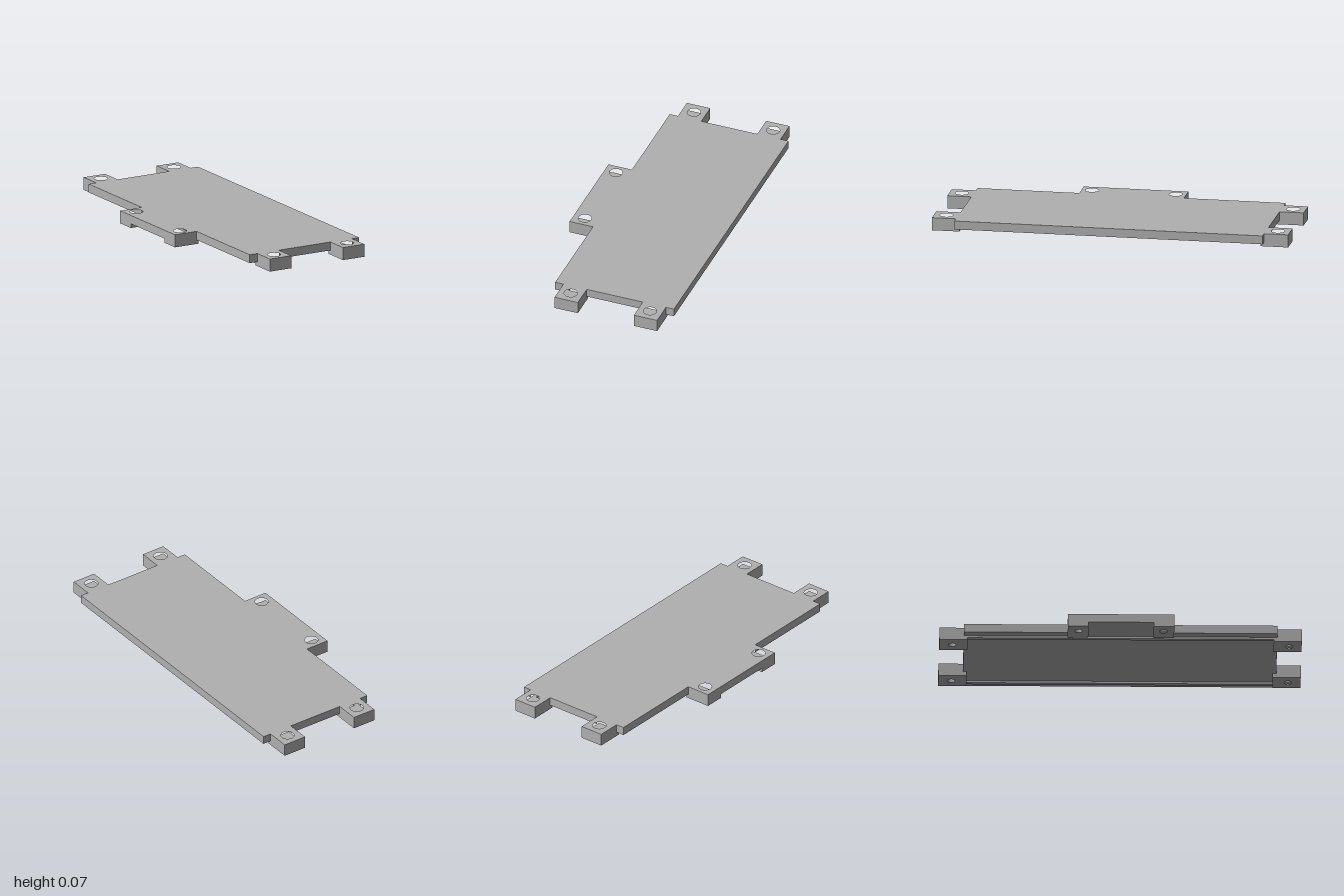
import * as THREE from 'three';

const TOP = 0.072, DECK = 0.024, RAIL = 0.012;
const BORE = 0.037, HOLE = 0.021;

const grey = new THREE.MeshStandardMaterial({ color: 0xb0b0b0 });
grey.name = 'plain grey';

// Horizontal slab from an [x, z] outline, with round holes [x, z]
function slab(name, outline, holes, radius, y0, y1) {
  const shape = new THREE.Shape(outline.map(([x, z]) => new THREE.Vector2(x, -z)));
  for (const [x, z] of holes) {
    shape.holes.push(new THREE.Path().absarc(x, -z, radius, 0, Math.PI * 2, true));
  }
  const geometry = new THREE.ExtrudeGeometry(shape, { depth: y1 - y0, bevelEnabled: false, curveSegments: 32 });
  geometry.rotateX(-Math.PI / 2).translate(0, y0, 0);
  const mesh = new THREE.Mesh(geometry, grey);
  mesh.name = name;
  return mesh;
}

const rect = (x0, x1, z0, z1) => [[x0, z0], [x1, z0], [x1, z1], [x0, z1]];

export function createModel() {
  const model = new THREE.Group();
  model.name = 'mountingPlate';

  // Deck with two tabs at each end and one wide tab on the side
  const half = [
    [0.42, 0.865], [0.373, 0.865], [0.373, 1], [0.235, 1], [0.235, 0.865],
    [-0.097, 0.865], [-0.097, 1], [-0.235, 1], [-0.235, 0.865],
    [-0.284, 0.865], [-0.284, 0.294], [-0.423, 0.294],
  ];
  const outline = [...half, ...half.map(([x, z]) => [x, -z]).reverse()];
  const endX = [-0.166, 0.304];
  const holes = [];
  for (const s of [1, -1]) {
    for (const x of endX) holes.push([x, s * 0.93]);
    holes.push([-0.355, s * 0.235]);
  }
  model.add(slab('deck', outline, holes, BORE, DECK, TOP));

  // Feet below the tabs: small screw holes under the wide bores
  for (const s of [1, -1]) {
    for (const x of endX) {
      model.add(slab('endFoot', rect(x - 0.069, x + 0.069, s * 0.845, s), [[x, s * 0.93]], HOLE, 0, DECK));
    }
    model.add(slab('sideFoot', rect(-0.423, -0.272, s * 0.18, s * 0.294), [[-0.355, s * 0.235]], HOLE, 0, DECK));
  }

  // Slim rails running lengthwise beneath the deck
  for (const [x0, x1] of [[-0.235, -0.213], [0.351, 0.373]]) {
    model.add(slab('rail', rect(x0, x1, -0.845, 0.845), [], 0, RAIL, DECK));
  }
  return model;
}
